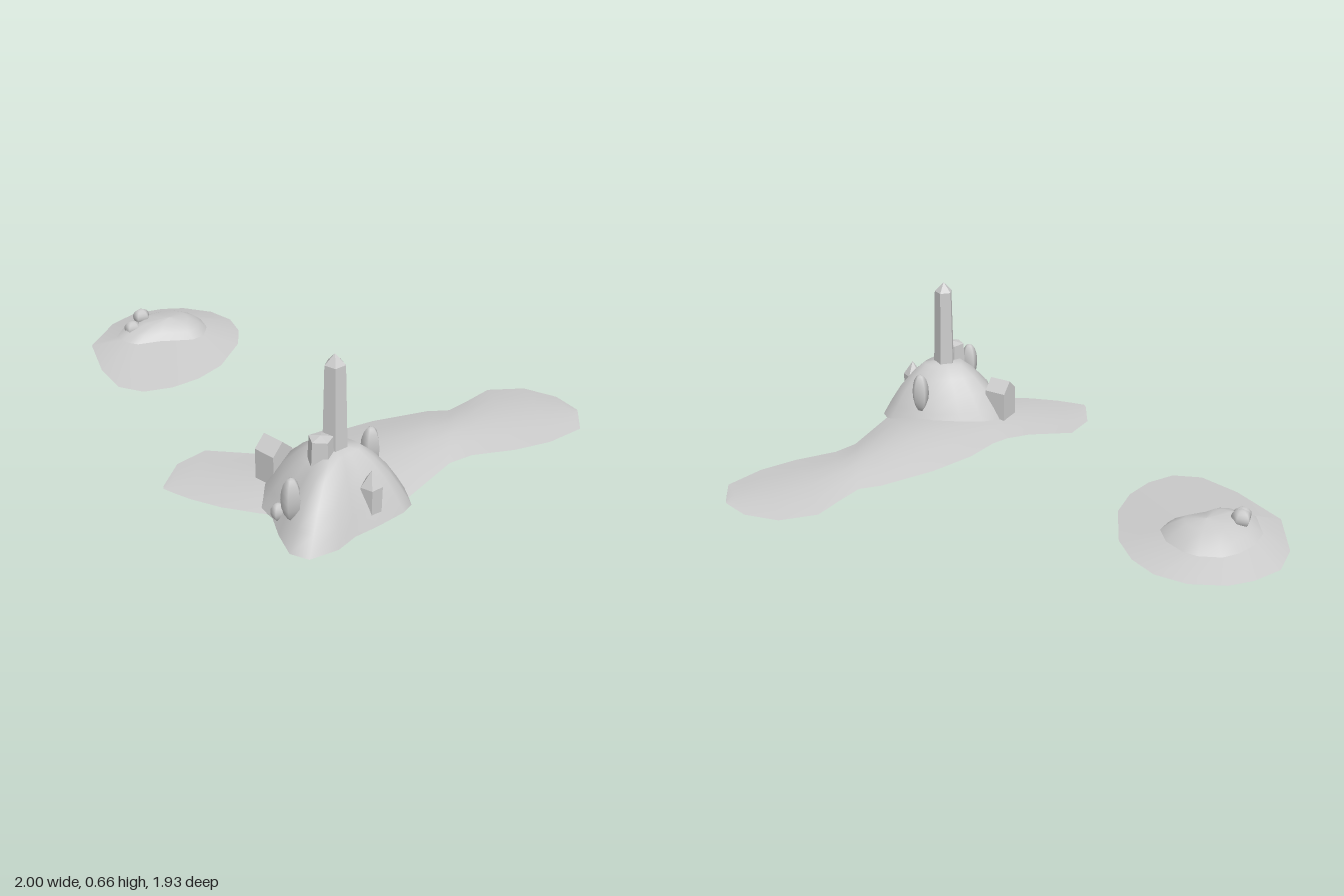
import * as THREE from 'three';

const grey = { color: 0xcccccc };
const smooth = new THREE.MeshStandardMaterial({ ...grey });
const faceted = new THREE.MeshStandardMaterial({ ...grey, flatShading: true });
const shell = new THREE.MeshStandardMaterial({ ...grey, side: THREE.DoubleSide });

const SHORE = 0.065;

// Surface through rows of points; closed rows run clockwise seen from above
function loft(rows, closed) {
  const n = rows[0].length;
  const index = [];
  for (let r = 0; r < rows.length - 1; r++) {
    for (let i = 0; i < (closed ? n : n - 1); i++) {
      const a = r * n + i, b = r * n + (i + 1) % n;
      index.push(a, a + n, b, b, a + n, b + n);
    }
  }
  const g = new THREE.BufferGeometry();
  g.setAttribute('position', new THREE.Float32BufferAttribute(rows.flat(2), 3));
  g.setIndex(index);
  g.computeVertexNormals();
  return g;
}

// Rings of an outline shrunk towards a centre, one per [scale, height]
const rings = (outline, [cx, cz], levels) => levels.map(([s, y]) =>
  outline.map(([x, z]) => [cx + (x - cx) * s, y, cz + (z - cz) * s]));

export function createModel() {
  const model = new THREE.Group();
  const add = (name, geometry, material, x = 0, y = 0, z = 0) => {
    const m = new THREE.Mesh(geometry, material);
    m.name = name;
    m.position.set(x, y, z);
    model.add(m);
    return m;
  };

  // Long sand bar: far shore, near shore and ridge height at each station
  const sand = [
    [-0.61, 0.50, -0.61, 0.52, 0.065], [-0.57, 0.36, -0.57, 0.55, 0.068],
    [-0.47, 0.27, -0.51, 0.59, 0.072], [-0.29, 0.30, -0.40, 0.645, 0.078],
    [-0.19, 0.29, -0.26, 0.69, 0.085], [-0.12, 0.26, -0.12, 0.71, 0.092],
    [0, 0.17, 0.06, 0.72, 0.105], [0.18, 0.085, 0.26, 0.62, 0.115],
    [0.40, 0.02, 0.35, 0.51, 0.107], [0.49, 0.016, 0.44, 0.40, 0.097],
    [0.57, -0.05, 0.53, 0.35, 0.093], [0.67, -0.14, 0.70, 0.32, 0.09],
    [0.82, -0.145, 0.845, 0.27, 0.083], [0.94, -0.07, 0.98, 0.18, 0.074],
    [1, 0.035, 1, 0.05, 0.066],
  ];
  const across = [0, 0.2, 0.4, 0.6, 0.8, 1].map((t) => sand.map(([xa, za, xb, zb, h]) => [
    xa + (xb - xa) * t, SHORE + (h - SHORE) * Math.sin(Math.PI * t), za + (zb - za) * t]));
  add('sandBar', loft(across, false), shell);

  // Round hill with a pointed foot
  const hill = [
    [-0.26, 0.66], [-0.255, 0.53], [-0.22, 0.43], [-0.12, 0.41], [-0.02, 0.41],
    [0.10, 0.435], [0.19, 0.50], [0.26, 0.57], [0.27, 0.66], [0.24, 0.705],
    [0.14, 0.785], [0.06, 0.84], [0, 0.91], [-0.10, 0.96], [-0.165, 0.925],
    [-0.20, 0.82], [-0.22, 0.72],
  ];
  add('hill', loft(rings(hill, [0.01, 0.635],
    [[1, SHORE], [0.86, 0.13], [0.7, 0.195], [0.5, 0.255], [0.3, 0.298], [0, 0.305]]), true), shell);

  // Small island: sloping beach up to the rim of a rocky dome
  const beach = [
    [-1, -0.61], [-0.93, -0.82], [-0.84, -0.925], [-0.72, -0.965], [-0.62, -0.97],
    [-0.49, -0.925], [-0.40, -0.84], [-0.36, -0.73], [-0.36, -0.60], [-0.43, -0.40],
    [-0.52, -0.29], [-0.625, -0.22], [-0.74, -0.19], [-0.845, -0.235], [-0.93, -0.38],
  ];
  const rim = [
    [-0.89, -0.62], [-0.86, -0.74], [-0.80, -0.80], [-0.72, -0.84], [-0.65, -0.85],
    [-0.57, -0.82], [-0.53, -0.78], [-0.50, -0.70], [-0.51, -0.62], [-0.555, -0.58],
    [-0.62, -0.575], [-0.70, -0.57], [-0.79, -0.545], [-0.83, -0.56], [-0.86, -0.59],
  ];
  const mid = [-0.66, -0.68];
  add('islandBeach', loft([...rings(beach, mid, [[1, SHORE]]), ...rings(rim, mid, [[1, 0.1]])], true), shell);
  add('islandDome', loft(rings(rim, mid, [[1, 0.1], [0.8, 0.128], [0.5, 0.153], [0, 0.162]]), true), shell);

  // Bushes and slender trees: five-sided rounded forms
  const blob = (name, x, y, z, r, h) =>
    add(name, new THREE.SphereGeometry(1, 5, 8), smooth, x, y, z).scale.set(r, h, r);
  blob('islandBush', -0.82, 0.128, -0.645, 0.037, 0.034);
  blob('islandBush', -0.785, 0.156, -0.705, 0.038, 0.035);
  blob('hillBush', -0.20, 0.11, 0.745, 0.027, 0.035);
  blob('tree', -0.155, 0.205, 0.81, 0.037, 0.085);
  blob('tree', 0.135, 0.215, 0.51, 0.037, 0.085);

  // Five-sided stones turned from a short profile
  const stone = (name, profile, x, z) => add(name, new THREE.LatheGeometry(
    profile.map(([r, y]) => new THREE.Vector2(r, y)), 5), faceted, x, 0, z);
  stone('obelisk', [[0, 0.25], [0.047, 0.25], [0.038, 0.62], [0, 0.66]], 0, 0.63);
  stone('standingStone', [[0, 0.05], [0.036, 0.05], [0.04, 0.205], [0, 0.265]], 0.12, 0.74);
  const block = stone('stoneBlock', [[0, 0.24], [0.052, 0.24], [0.045, 0.36], [0, 0.37]], -0.05, 0.675);
  block.rotation.y = 0.5;

  // Gabled hut set diagonally into the slope
  const gable = new THREE.Shape([[-0.048, 0], [0.048, 0], [0.048, 0.205], [0, 0.25], [-0.048, 0.205]]
    .map(([x, y]) => new THREE.Vector2(x, y)));
  const hutShape = new THREE.ExtrudeGeometry(gable, { depth: 0.092, bevelEnabled: false });
  hutShape.translate(0, 0, -0.046);
  add('hut', hutShape, faceted, -0.212, 0, 0.487).rotation.y = Math.PI / 4;

  return model;
}
